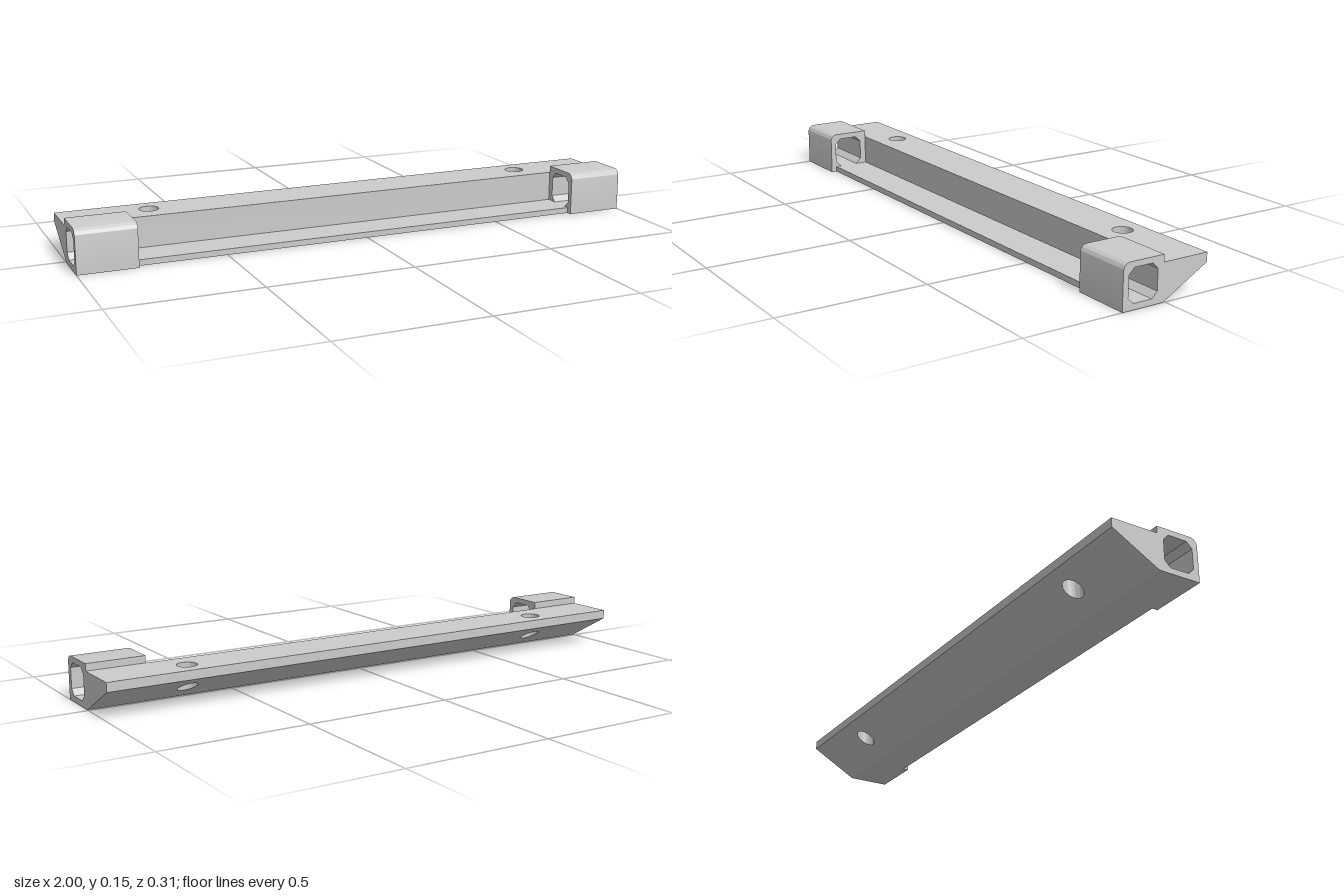
import * as THREE from 'three';
import { toCreasedNormals } from 'three/addons/utils/BufferGeometryUtils.js';

const BACK = -0.157, FRONT = 0.157, WALL = 0.008;   // z planes
const RAIL_TOP = 0.124, BACK_EDGE = 0.093, TOP = 0.148, FLOOR = 0.02;

const material = new THREE.MeshStandardMaterial({ color: 0xcccccc });

function addMesh(parent, name, geometry) {
  const mesh = new THREE.Mesh(geometry, material);
  mesh.name = name;
  parent.add(mesh);
  return mesh;
}

// Wedge rail: plan outline with two screw holes, underside sloped toward the back
function railGeometry() {
  const plan = new THREE.Shape([
    new THREE.Vector2(-1, BACK), new THREE.Vector2(1, BACK),
    new THREE.Vector2(1, WALL), new THREE.Vector2(-1, WALL),
  ]);
  for (const x of [-0.7, 0.7]) {
    plan.holes.push(new THREE.Path().absarc(x, -0.083, 0.033, 0, Math.PI * 2, true));
  }
  const geo = new THREE.ExtrudeGeometry(plan, { depth: 1, bevelEnabled: false, curveSegments: 40 });
  geo.rotateX(Math.PI / 2);
  const pos = geo.attributes.position;
  for (let i = 0; i < pos.count; i++) {
    const slope = BACK_EDGE * (WALL - pos.getZ(i)) / (WALL - BACK);
    pos.setY(i, pos.getY(i) > -0.5 ? RAIL_TOP : slope);
  }
  geo.computeVertexNormals();
  return toCreasedNormals(geo, 0.5);
}

// Square sleeve with a rounded top front edge and a chamfered through-hole
function sleeveGeometry() {
  const r = 0.024;
  const s = new THREE.Shape();
  s.moveTo(-FRONT, 0);
  s.lineTo(-WALL, 0);
  s.lineTo(-WALL, TOP);
  s.lineTo(-FRONT + r, TOP);
  s.absarc(-FRONT + r, TOP - r, r, Math.PI / 2, Math.PI, false);
  s.closePath();

  const x0 = -0.137, x1 = -0.03, y0 = FLOOR, y1 = 0.129, c = 0.02;
  s.holes.push(new THREE.Path([
    [x0 + c, y0], [x0, y0 + c], [x0, y1 - c], [x0 + c, y1],
    [x1 - c, y1], [x1, y1 - c], [x1, y0 + c], [x1 - c, y0],
  ].map(([x, y]) => new THREE.Vector2(x, y))));

  const geo = new THREE.ExtrudeGeometry(s, { depth: 0.2, bevelEnabled: false, curveSegments: 12 });
  geo.rotateY(Math.PI / 2);
  return toCreasedNormals(geo, 0.5);
}

export function createModel() {
  const group = new THREE.Group();
  group.name = 'mountingRail';

  addMesh(group, 'wedgeRail', railGeometry());

  // Thin ledge running between the sleeves
  const depth = 0.137 - WALL;
  addMesh(group, 'frontLedge', new THREE.BoxGeometry(1.6, FLOOR, depth))
    .position.set(0, FLOOR / 2, WALL + depth / 2);

  // One sleeve at each end
  const sleeve = sleeveGeometry();
  addMesh(group, 'leftSleeve', sleeve).position.x = 0.8;
  addMesh(group, 'rightSleeve', sleeve).position.x = -1;

  return group;
}
